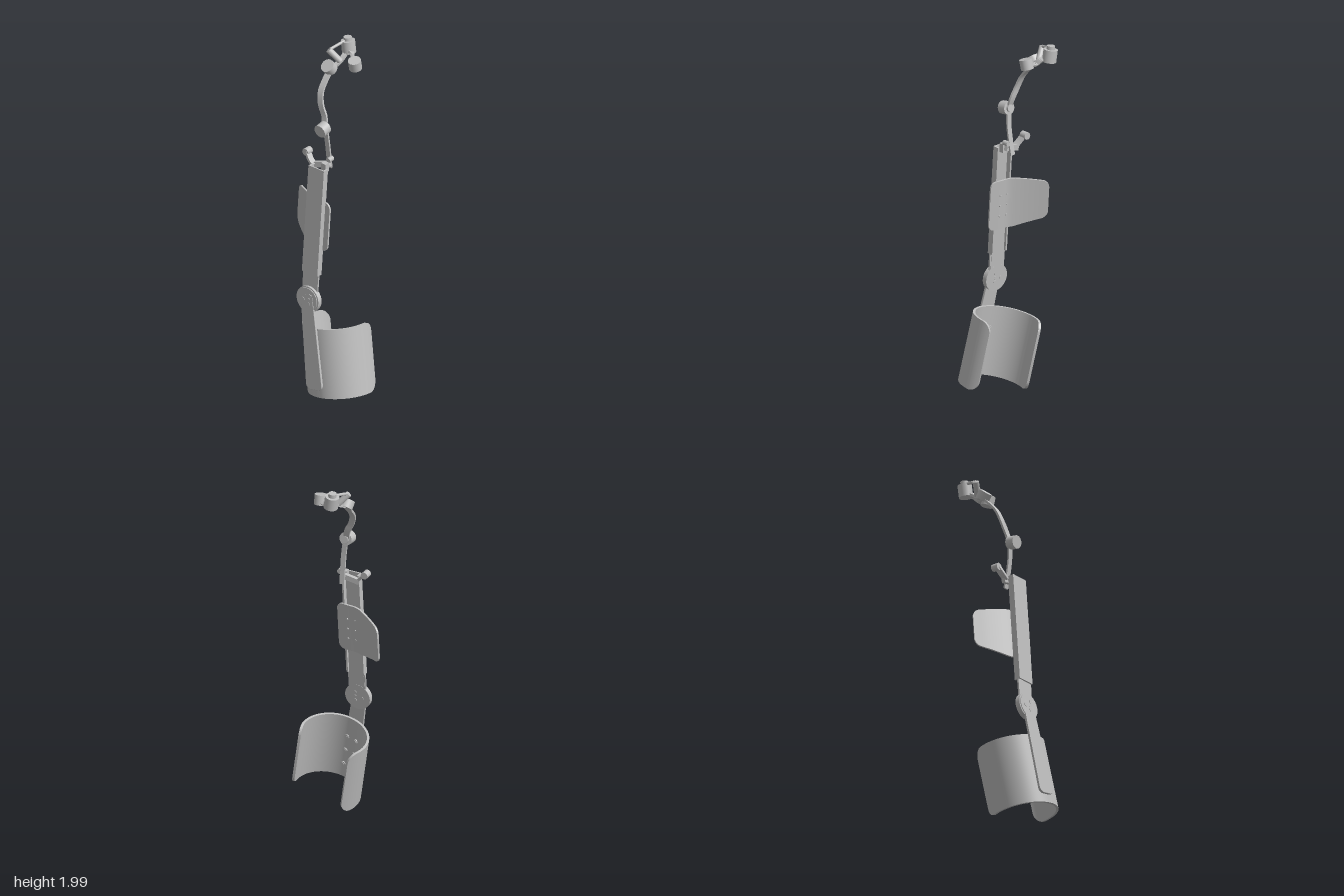
import * as THREE from 'three';
import { toCreasedNormals } from 'three/addons/utils/BufferGeometryUtils.js';

const V = (x, y, z) => new THREE.Vector3(x, y, z);
const metal = new THREE.MeshStandardMaterial({ color: 0xbfbfbf });
metal.name = 'light grey metal';

function add(parent, name, geometry, x = 0, y = 0, z = 0) {
  const mesh = new THREE.Mesh(geometry, metal);
  mesh.name = name;
  mesh.position.set(x, y, z);
  parent.add(mesh);
  return mesh;
}

// Cylinder between two points
function rod(parent, name, r, a, b, sides = 28) {
  const d = b.clone().sub(a);
  const m = add(parent, name, new THREE.CylinderGeometry(r, r, d.length(), sides));
  m.position.copy(a).add(b).multiplyScalar(0.5);
  m.quaternion.setFromUnitVectors(V(0, 1, 0), d.normalize());
  return m;
}

// Solid strip: at(t) gives centre p and half vectors a, b of its section
function strip(parent, name, n, at) {
  const rings = [], pos = [];
  for (let i = 0; i <= n; i++) {
    const { p, a, b } = at(0.5 - 0.5 * Math.cos(Math.PI * i / n));
    rings.push([[1, 1], [-1, 1], [-1, -1], [1, -1]].map(([u, v]) =>
      p.clone().addScaledVector(a, u).addScaledVector(b, v)));
  }
  const quad = (...c) => [0, 1, 2, 0, 2, 3].forEach(k => pos.push(...c[k].toArray()));
  for (let i = 0; i < n; i++) for (let k = 0; k < 4; k++) {
    const j = (k + 1) % 4;
    quad(rings[i][k], rings[i][j], rings[i + 1][j], rings[i + 1][k]);
  }
  quad(...rings[0].slice().reverse());
  quad(...rings[n]);
  const g = new THREE.BufferGeometry();
  g.setAttribute('position', new THREE.Float32BufferAttribute(pos, 3));
  g.computeVertexNormals();
  return add(parent, name, toCreasedNormals(g, 0.6));
}

// Flat band along a smooth curve, with its width along a fixed direction
function band(parent, name, points, width, thick, side = V(1, 0, 0)) {
  const curve = new THREE.CatmullRomCurve3(points);
  strip(parent, name, 20, t => {
    const T = curve.getTangent(t);
    const b = side.clone().addScaledVector(T, -side.dot(T)).normalize();
    return { p: curve.getPoint(t), a: b.clone().cross(T).multiplyScalar(thick / 2), b: b.multiplyScalar(width / 2) };
  });
}

// Inset that rounds a plate corner, d being the distance from the end
const rounding = (d, r) => (d >= r ? 0 : r - Math.sqrt(Math.max(0, r * r - (r - d) ** 2)));

// Group whose y axis follows a direction while its front stays near +z
function frame(parent, name, origin, up) {
  const g = new THREE.Group();
  g.name = name;
  const y = up.clone().normalize(), x = y.clone().cross(V(0, 0, 1)).normalize();
  g.quaternion.setFromRotationMatrix(new THREE.Matrix4().makeBasis(x, y, x.clone().cross(y)));
  g.position.copy(origin);
  parent.add(g);
  return g;
}

function disc(parent, name, r, x, y, z0, z1, sides = 36) {
  return rod(parent, name, r, V(x, y, z0), V(x, y, z1), sides);
}

function upperArm(model) {
  const g = frame(model, 'upperArm', V(-0.048, 0.6, 0.175), V(0.005, 0.77, -0.062));
  // Channel rail, open to the back
  add(g, 'railFace', new THREE.BoxGeometry(0.105, 0.62, 0.008), 0, 0.46, 0.003);
  for (const s of [-1, 1])
    add(g, 'railFlange', new THREE.BoxGeometry(0.01, 0.62, 0.034), s * 0.0475, 0.46, -0.011);
  // Sliding link between rail and elbow
  add(g, 'slidingLink', new THREE.BoxGeometry(0.088, 0.34, 0.012), 0, 0.22, -0.009);
  const neck = new THREE.Shape([[-0.05, 0], [0.05, 0], [0.052, 0.16], [-0.052, 0.16]].map(p => new THREE.Vector2(...p)));
  add(g, 'elbowNeck', new THREE.ExtrudeGeometry(neck, { depth: 0.01, bevelEnabled: false }), 0, 0, -0.013);

  // Elbow hub with bolts
  disc(g, 'elbowHub', 0.074, 0, 0, -0.016, 0.011, 48);
  disc(g, 'elbowCap', 0.066, 0, 0, 0.011, 0.015, 48);
  for (const [x, y] of [[0.012, 0.027], [0.012, -0.022], [-0.028, -0.004], [0.012, 0.002]]) {
    disc(g, 'elbowBolt', 0.011, x, y, 0.015, 0.018, 16);
    disc(g, 'elbowBoltBack', 0.008, x, y, -0.019, -0.016, 16);
  }

  // Curved upper cuff plate
  const path = new THREE.CatmullRomCurve3([V(-0.22, 0, -0.148), V(-0.155, 0, -0.102), V(-0.085, 0, -0.06),
    V(-0.03, 0, -0.036), V(0.03, 0, -0.031), V(0.087, 0, -0.024)]);
  const length = path.getLength();
  strip(g, 'upperCuff', 40, t => {
    const k = Math.min(1, t * 1.8);
    const cut = rounding(Math.min(t, 1 - t) * length, 0.035);
    const lo = 0.345 - 0.05 * k + cut, hi = 0.55 + 0.025 * k - cut;
    const p = path.getPointAt(t), T = path.getTangentAt(t);
    p.y = (lo + hi) / 2;
    p.x += 0.02 * (1 - k) * (p.y - 0.45);
    return { p, a: V(0, (hi - lo) / 2, 0), b: V(-T.z, 0, T.x).multiplyScalar(0.005) };
  });
  for (const y of [0.37, 0.43, 0.49])
    for (const x of [-0.022, 0.024]) disc(g, 'upperCuffScrew', 0.005, x, y, -0.043, -0.03, 12);
}

function forearm(model) {
  const up = V(-0.092, 0.49, -0.05);
  // Tapered bar with rounded lower corners
  const bar = frame(model, 'forearmBar', V(-0.05, 0.6, 0.188), up);
  const s = new THREE.Shape();
  s.moveTo(0.038, 0.03);
  s.lineTo(-0.038, 0.03);
  s.lineTo(-0.052, -0.47);
  s.quadraticCurveTo(-0.052, -0.5, -0.022, -0.5);
  s.lineTo(0.022, -0.5);
  s.quadraticCurveTo(0.052, -0.5, 0.052, -0.47);
  s.closePath();
  add(bar, 'bar', new THREE.ExtrudeGeometry(s, { depth: 0.008, bevelThickness: 0.003, bevelSize: 0.002, bevelSegments: 2 }), 0, 0, -0.008);

  // Open round cuff
  const cuff = frame(model, 'forearmCuff', V(0.045, 0.24, 0.028), up);
  const R = 0.18, start = -2.2, sweep = 4.12;
  strip(cuff, 'cuffShell', 72, t => {
    const a = start + sweep * t, out = V(Math.sin(a), 0, Math.cos(a));
    const half = 0.193 - rounding(Math.min(t, 1 - t) * sweep * R, 0.06);
    return { p: out.clone().multiplyScalar(R), a: V(0, half, 0), b: out.multiplyScalar(0.0065) };
  });
  // Screws inside the cuff
  for (const y of [-0.11, -0.02, 0.07]) for (const a of [-0.32, 0.02]) {
    const d = V(Math.sin(a), 0, Math.cos(a));
    const at = r => d.clone().multiplyScalar(r).setY(y);
    rod(cuff, 'cuffScrew', 0.013, at(0.167), at(0.176), 16);
    rod(cuff, 'cuffScrewHead', 0.007, at(0.164), at(0.168), 12);
  }
}

function shoulderChain(model) {
  const g = new THREE.Group();
  g.name = 'shoulderChain';
  model.add(g);
  // Bracket on top of the rail
  band(g, 'bracketArm', [V(-0.15, 1.405, 0.06), V(-0.12, 1.37, 0.07), V(-0.095, 1.35, 0.072)], 0.035, 0.014, V(0, 0, 1));
  band(g, 'bracketBar', [V(-0.11, 1.345, 0.065), V(-0.06, 1.36, 0.055), V(-0.01, 1.372, 0.045)], 0.02, 0.03, V(0, 0, 1));
  rod(g, 'bracketPin', 0.02, V(-0.155, 1.405, 0.035), V(-0.155, 1.405, 0.075), 20);
  rod(g, 'bracketPeg', 0.014, V(-0.012, 1.4, 0.025), V(-0.012, 1.4, 0.06), 20);
  add(g, 'bracketFoot', new THREE.BoxGeometry(0.03, 0.05, 0.03), -0.02, 1.365, 0.075);

  // Lower link and its joint
  band(g, 'lowerLink', [V(-0.033, 1.335, 0.018), V(-0.03, 1.42, 0.032), V(-0.03, 1.5, 0.043), V(-0.037, 1.585, 0.05)], 0.028, 0.01);
  rod(g, 'lowerJoint', 0.036, V(-0.037, 1.59, 0.048), V(-0.037, 1.582, 0.098));
  rod(g, 'lowerJointBack', 0.02, V(-0.037, 1.592, 0.036), V(-0.037, 1.59, 0.048));

  // Curved upper link and its joint
  band(g, 'upperLink', [V(-0.042, 1.59, 0.054), V(-0.052, 1.645, 0.04), V(-0.08, 1.7, 0.034), V(-0.098, 1.76, 0.015),
    V(-0.104, 1.81, -0.025), V(-0.105, 1.85, -0.065)], 0.033, 0.012);
  rod(g, 'upperJoint', 0.037, V(-0.108, 1.856, -0.083), V(-0.11, 1.89, -0.053));
  band(g, 'shoulderLink', [V(-0.105, 1.865, -0.085), V(-0.09, 1.885, -0.125), V(-0.087, 1.91, -0.165), V(-0.095, 1.925, -0.205)], 0.025, 0.014);

  // Peg and rod reaching over to the shoulder hub
  rod(g, 'shoulderPeg', 0.017, V(-0.085, 1.893, -0.13), V(-0.138, 1.955, -0.1), 20);
  rod(g, 'shoulderRod', 0.008, V(-0.133, 1.958, -0.105), V(-0.1, 1.985, -0.21), 14);
  rod(g, 'shoulderHub', 0.038, V(-0.088, 1.912, -0.208), V(-0.098, 1.98, -0.21));
  rod(g, 'shoulderHubCap', 0.022, V(-0.098, 1.978, -0.21), V(-0.1, 2.0, -0.21), 24);

  // Last link and motor
  band(g, 'motorLink', [V(-0.08, 1.935, -0.2), V(-0.05, 1.925, -0.185), V(-0.03, 1.905, -0.168), V(0, 1.895, -0.15)], 0.03, 0.012, V(0.5, 0, 0.9));
  rod(g, 'motor', 0.035, V(0.008, 1.877, -0.145), V(0.01, 1.93, -0.132));
}

export function createModel() {
  const model = new THREE.Group();
  model.name = 'armSupport';
  upperArm(model);
  forearm(model);
  shoulderChain(model);
  return model;
}
